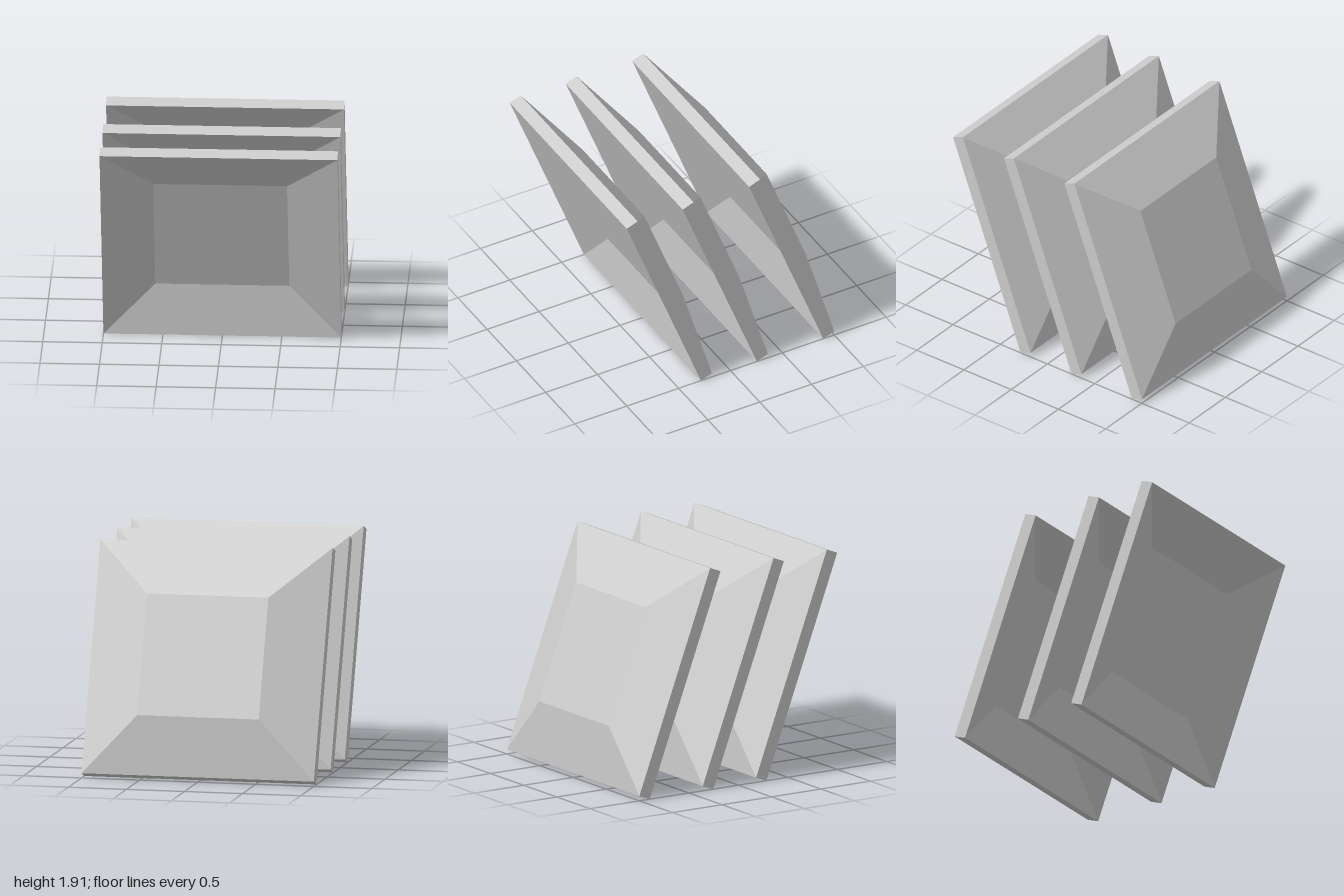
import * as THREE from 'three';

// Square rings of one panel, front to back: half width, half height, depth
const RINGS = [
  [0.563, 0.563, -0.15],   // floor of the front recess
  [1, 1.003, 0],           // front edge
  [1, 1.003, -0.112],      // back edge
  [0.523, 0.523, -0.285],  // flat top of the back bulge
];

// Dished panel: the rings joined by flat faces and capped at both ends
function panelGeometry() {
  const rings = RINGS.map(([w, h, z]) => [[-w, -h, z], [w, -h, z], [w, h, z], [-w, h, z]]);
  const points = [];
  const quad = (a, b, c, d) => points.push(...a, ...b, ...c, ...a, ...c, ...d);

  quad(...rings[0]);
  for (let r = 0; r < rings.length - 1; r++) {
    const a = rings[r], b = rings[r + 1];
    for (let i = 0; i < 4; i++) {
      const j = (i + 1) % 4;
      quad(b[i], b[j], a[j], a[i]);
    }
  }
  quad(...rings[rings.length - 1].slice().reverse());

  const geometry = new THREE.BufferGeometry();
  geometry.setAttribute('position', new THREE.Float32BufferAttribute(points, 3));
  geometry.computeVertexNormals();
  return geometry;
}

export function createModel() {
  const model = new THREE.Group();
  model.name = 'tiltedPanels';
  const material = new THREE.MeshStandardMaterial({ color: 0xcccccc, flatShading: true });
  const geometry = panelGeometry();

  // Three equal panels leaning forward, one behind the other
  const panels = { frontPanel: 0.642, middlePanel: 0.103, backPanel: -0.538 };
  for (const [name, z] of Object.entries(panels)) {
    const panel = new THREE.Mesh(geometry, material);
    panel.name = name;
    panel.position.set(0, 0.937, z);
    panel.rotation.x = THREE.MathUtils.degToRad(20.9);
    model.add(panel);
  }
  return model;
}
